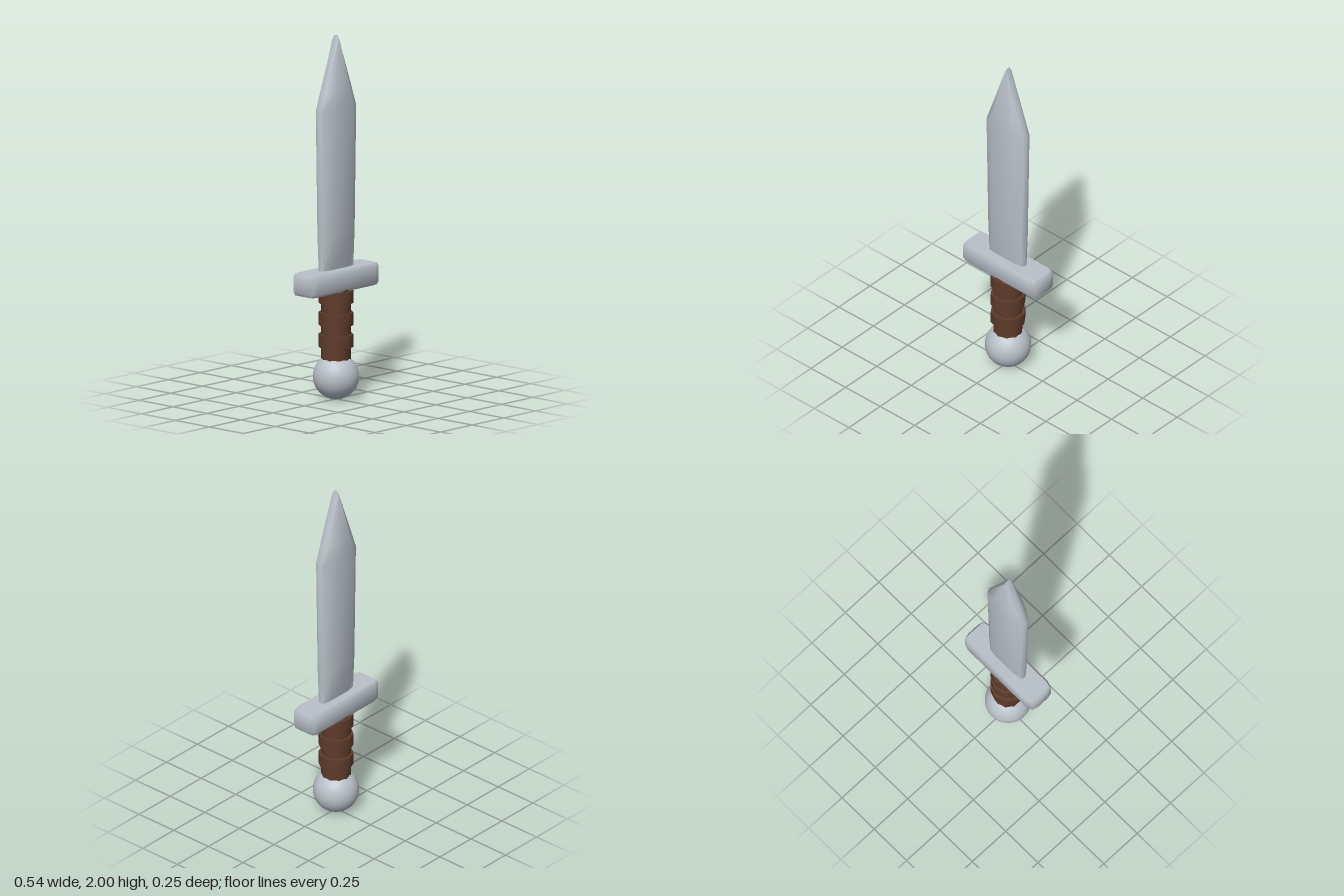
import * as THREE from 'three';
import { toCreasedNormals } from 'three/addons/utils/BufferGeometryUtils.js';

// Skins stacked horizontal outlines. Each layer is { y, half }, where half lists
// the [x, z] points of the +x side from +z to -z; the other side is its half turn.
function loft(layers, crease) {
  const pos = [], index = [];
  const n = layers[0].half.length * 2;
  for (const { y, half } of layers) {
    for (const s of [1, -1]) for (const [x, z] of half) pos.push(s * x, y, s * z);
  }
  for (let k = 0; k < layers.length - 1; k++) {
    for (let i = 0; i < n; i++) {
      const a = k * n + i, b = k * n + (i + 1) % n;
      index.push(a, b, b + n, a, b + n, a + n);
    }
  }
  const top = (layers.length - 1) * n;
  for (let i = 1; i < n - 1; i++) {
    index.push(0, i + 1, i);
    index.push(top, top + i, top + i + 1);
  }
  const g = new THREE.BufferGeometry();
  g.setAttribute('position', new THREE.Float32BufferAttribute(pos, 3));
  g.setIndex(index);
  return toCreasedNormals(g, crease);
}

export function createModel() {
  const steel = new THREE.MeshStandardMaterial({ color: 0xb8c0c8 });
  steel.name = 'steel';
  const leather = new THREE.MeshStandardMaterial({ color: 0x5f3b2b });
  leather.name = 'leather';

  const model = new THREE.Group();
  model.name = 'dagger';
  const add = (name, geometry, material, y = 0) => {
    const mesh = new THREE.Mesh(geometry, material);
    mesh.name = name;
    mesh.position.y = y;
    model.add(mesh);
  };

  // Blade: height, half width, half thickness at the flat, half thickness at the edge
  const blade = [
    [0.70, 0.126, 0.022, 0.015],
    [0.92, 0.130, 0.054, 0.022],
    [1.60, 0.143, 0.055, 0.022],
    [1.70, 0.107, 0.052, 0.022],
    [1.97, 0.011, 0.023, 0.016],
    [2.00, 0.001, 0.012, 0.008],
  ].map(([y, w, t, e]) => ({
    y,
    half: [[0.56 * w, t], [0.95 * w, e], [w, 0], [0.95 * w, -e], [0.56 * w, -t]],
  }));
  add('blade', loft(blade, 0.7), steel);

  // Crossguard: bevelled bar with chamfered corners
  const guard = [[0.60, 0.012], [0.617, 0], [0.703, 0], [0.72, 0.012]].map(([y, d]) => {
    const corner = [[0.225, 0.082 - d], [0.262 - d * 0.5, 0.069 - d * 0.6], [0.27 - d, 0.037]];
    return { y, half: [...corner, ...corner.map(([x, z]) => [x, -z]).reverse()] };
  });
  add('crossguard', loft(guard, 0.75), steel);

  // Grip: ten-sided core with three raised wraps
  const prism = (r, h) => toCreasedNormals(new THREE.CylinderGeometry(r, r, h, 10), 0.7);
  add('gripCore', prism(0.08, 0.42), leather, 0.40);
  for (const y of [0.323, 0.443, 0.565]) add('gripWrap', prism(0.095, 0.07), leather, y);

  // Pommel
  add('pommel', new THREE.SphereGeometry(0.125, 32, 20), steel, 0.125);

  return model;
}
